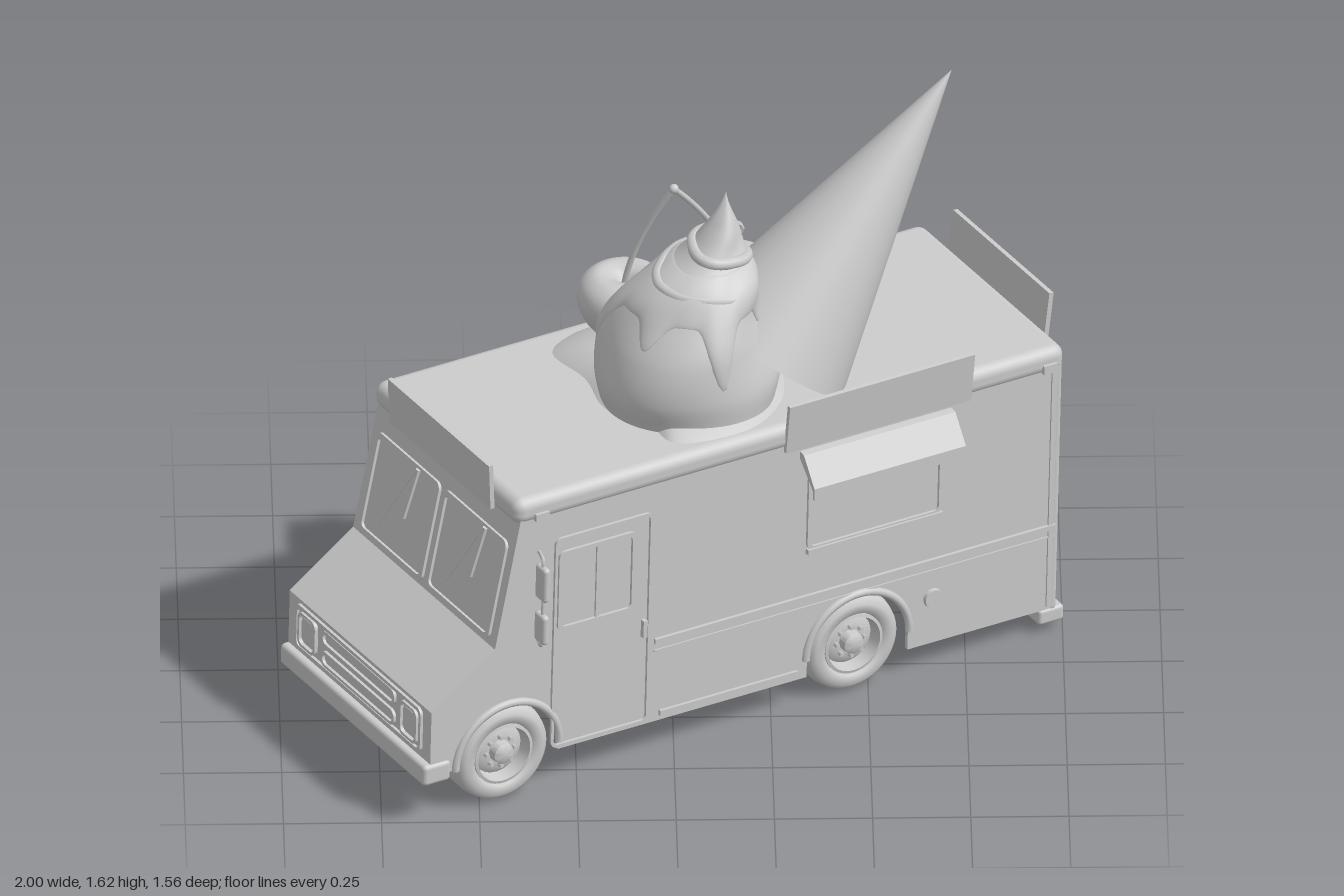
import * as THREE from 'three';
import { toCreasedNormals } from 'three/addons/utils/BufferGeometryUtils.js';
import { RoundedBoxGeometry } from 'three/addons/geometries/RoundedBoxGeometry.js';
import { ParametricGeometry } from 'three/addons/geometries/ParametricGeometry.js';

const grey = new THREE.MeshStandardMaterial({ color: 0xcccccc, side: THREE.DoubleSide });
const V = (x, y, z) => new THREE.Vector3(x, y, z);
const outline = pts => new THREE.Shape(pts.map(p => new THREE.Vector2(...p)));

function add(parent, name, geo, x = 0, y = 0, z = 0) {
  const m = new THREE.Mesh(geo, grey);
  m.name = name;
  m.position.set(x, y, z);
  parent.add(m);
  return m;
}
// Box given by its minimum and maximum on each axis
function box(parent, name, x0, x1, y0, y1, z0, z1, r = 0) {
  const s = [x1 - x0, y1 - y0, z1 - z0];
  const geo = r ? new RoundedBoxGeometry(...s, 3, r) : new THREE.BoxGeometry(...s);
  return add(parent, name, geo, (x0 + x1) / 2, (y0 + y1) / 2, (z0 + z1) / 2);
}
const extrude = (shape, depth) => new THREE.ExtrudeGeometry(shape, { depth, bevelEnabled: false, curveSegments: 16 });

function roundRect(w, h, r, P = THREE.Shape) {
  const s = new P(), a = w / 2 - r, b = h / 2 - r;
  s.absarc(a, b, r, 0, Math.PI / 2);
  s.absarc(-a, b, r, Math.PI / 2, Math.PI);
  s.absarc(-a, -b, r, Math.PI, Math.PI * 1.5);
  s.absarc(a, -b, r, Math.PI * 1.5, Math.PI * 2);
  s.closePath();
  return s;
}
// Thin window or door trim lying in the XY plane, facing +z
function frame(w, h, t = 0.01, depth = 0.008) {
  const s = roundRect(w, h, 0.02);
  s.holes.push(roundRect(w - 2 * t, h - 2 * t, 0.014, THREE.Path));
  return extrude(s, depth);
}

const AXLES = [[-0.7, 0.119], [0.34, 0.146]]; // axle position and arch height in the body frame
const ARCH = 0.15;

function buildWheel() {
  const g = new THREE.Group();
  g.name = 'wheel';
  const lathe = pts => new THREE.LatheGeometry(pts.map(p => new THREE.Vector2(...p)), 40).rotateX(Math.PI / 2);
  add(g, 'tyre', lathe([[0.085, -0.075], [0.115, -0.08], [0.131, -0.065], [0.137, -0.04], [0.137, 0.04],
    [0.131, 0.065], [0.115, 0.08], [0.09, 0.078], [0.082, 0.06]]));
  add(g, 'rim', toCreasedNormals(lathe([[0, -0.04], [0.085, -0.075], [0.085, 0.073], [0.077, 0.075], [0.07, 0.038],
    [0.05, 0.05], [0.03, 0.05], [0.028, 0.074], [0.018, 0.08], [0, 0.08]]), 0.6));
  for (let i = 0; i < 8; i++) {
    const a = i * Math.PI / 4;
    add(g, 'lugNut', new THREE.CylinderGeometry(0.006, 0.006, 0.02, 6).rotateX(Math.PI / 2),
      0.041 * Math.cos(a), 0.041 * Math.sin(a), 0.054);
  }
  return g;
}

// Serving hatch placements: awning centre and width, height shift, window bottom and top, board centre
const HATCH = {
  left: { x: 0.378, w: 0.45, dy: 0, y0: 0.475, y1: 0.7, board: 0.38 },
  right: { x: 0.32, w: 0.4, dy: -0.04, y0: 0.4, y1: 0.67, board: 0.345 },
};

function buildSide(body, s) {
  const g = new THREE.Group(), Z = s * 0.35, side = s > 0 ? 'left' : 'right', hatch = HATCH[side];
  g.name = side + 'Side';
  body.add(g);
  // Thin wall with wheel arches
  const w = new THREE.Shape();
  w.moveTo(-0.93, 0.12);
  w.lineTo(-0.85, 0.12);
  w.absarc(-0.7, 0.119, ARCH, Math.PI, 0, true);
  w.lineTo(-0.55, 0.095);
  w.lineTo(0.19, 0.095);
  w.absarc(0.34, 0.146, ARCH, Math.PI, 0, true);
  [[0.49, 0.09], [0.92, 0.09], [0.92, 0.82], [-0.675, 0.82], [-0.745, 0.445], [-0.93, 0.31]].forEach(p => w.lineTo(...p));
  w.closePath();
  add(g, 'sideWall', extrude(w, 0.012), 0, 0, s > 0 ? 0.338 : -0.35);
  // Trims
  const trim = (name, fw, fh, x, y, t) => add(g, name, frame(fw, fh, t), x, y, s > 0 ? Z : Z - 0.008);
  trim('doorFrame', 0.29, 0.62, -0.43, 0.415, 0.008);
  trim('doorWindowFrame', 0.23, 0.235, -0.448, 0.565, 0.012);
  trim('servingWindowFrame', 0.4, hatch.y1 - hatch.y0, hatch.x, (hatch.y0 + hatch.y1) / 2, 0.01);
  const strip = (name, x0, x1, y0, y1, d) => box(g, name, x0, x1, y0, y1, Z - d, Z + d);
  strip('windowBar', -0.45, -0.44, 0.46, 0.67, 0.006);
  strip('servingLedge', hatch.x - 0.2, hatch.x + 0.2, hatch.y0 - 0.01, hatch.y0 + 0.005, 0.014);
  strip('rubRail', -0.27, 0.92, 0.328, 0.342, 0.009);
  strip('panelSeam', -0.27, 0.92, 0.303, 0.308, 0.004);
  strip('sillRail', -0.25, 0.16, 0.11, 0.125, 0.008);
  strip('doorHandle', -0.31, -0.298, 0.36, 0.41, 0.014);
  strip('cornerTrim', 0.9, 0.915, 0.1, 0.8, 0.005);
  strip('markerLight', -0.64, -0.6, 0.8, 0.82, 0.014);
  strip('rearMarkerLight', 0.87, 0.91, 0.8, 0.825, 0.014);
  for (const [x, y] of AXLES)
    add(g, 'archFlare', new THREE.TorusGeometry(ARCH + 0.004, 0.011, 8, 32, Math.PI), x, y, Z);
  if (s > 0)
    add(g, 'fuelCap', new THREE.CylinderGeometry(0.025, 0.028, 0.02, 20).rotateX(Math.PI / 2), 0.56, 0.225, Z);
  // Awning, extruded along the wall
  const a = outline([[0, 0.775], [0.02, 0.772], [0.075, 0.7], [0.075, 0.667], [0.068, 0.667], [0.068, 0.69], [0, 0.755]]);
  const awning = add(g, 'awning', extrude(a, hatch.w).translate(0, 0, -hatch.w / 2).rotateY(-Math.PI / 2), hatch.x, hatch.dy, Z);
  if (s < 0) awning.rotation.y = Math.PI;
  // Sign board leaning out at the roof edge
  const board = box(g, 'signBoard', hatch.board - 0.275, hatch.board + 0.275, 0.787, 0.93, s * 0.362 - 0.006, s * 0.362 + 0.006);
  board.rotation.x = s * 0.1;
  // Mirrors on a bent bracket
  const arm = new THREE.CatmullRomCurve3([V(-0.62, 0.7, Z), V(-0.635, 0.7, s * 0.395), V(-0.635, 0.58, s * 0.4),
    V(-0.635, 0.45, s * 0.395), V(-0.62, 0.45, Z)], false, 'catmullrom', 0.2);
  add(g, 'mirrorBracket', new THREE.TubeGeometry(arm, 24, 0.005, 6));
  box(g, 'mirror', -0.645, -0.625, 0.585, 0.685, s * 0.395 - 0.025, s * 0.395 + 0.025, 0.01);
  box(g, 'wideMirror', -0.645, -0.625, 0.46, 0.545, s * 0.395 - 0.025, s * 0.395 + 0.025, 0.01);
}

function buildTruck() {
  const truck = new THREE.Group(), body = new THREE.Group();
  truck.name = 'truck';
  body.name = 'body';
  truck.add(body);
  body.rotation.z = -0.026; // sits a little nose up
  truck.rotation.y = Math.PI / 6;

  // Hollow body: nose, hood and windscreen skin, roof, side walls, open underneath
  const skin = outline([[-0.93, 0.12], [-0.918, 0.12], [-0.918, 0.304], [-0.734, 0.438], [-0.662, 0.82], [-0.675, 0.82],
    [-0.745, 0.445], [-0.93, 0.31]]);
  add(body, 'noseAndHood', extrude(skin, 0.68), 0, 0, -0.34);
  box(body, 'roof', -0.695, 0.94, 0.79, 0.864, -0.356, 0.356, 0.03);
  for (const s of [1, -1]) buildSide(body, s);

  // Rear wall, windows, lights and bumper
  box(body, 'rearWall', 0.912, 0.932, 0.085, 0.82, -0.352, 0.352, 0.008);
  const rear = (name, geo, y, z) => { add(body, name, geo, 0.931, y, z).rotation.y = Math.PI / 2; };
  for (const z of [-0.125, 0.11]) rear('rearWindowFrame', frame(0.172, 0.23, 0.011), 0.605, z);
  for (const z of [-0.315, 0.315]) for (const y of [0.32, 0.39])
    rear('tailLight', new THREE.SphereGeometry(0.017, 16, 10).scale(1, 1, 0.6), y, z);
  box(body, 'rearStep', 0.92, 0.938, 0.185, 0.192, -0.33, 0.27);
  box(body, 'rearBumper', 0.88, 0.955, 0.047, 0.092, -0.354, 0.354, 0.01);
  box(body, 'rearSignBoard', 0.952, 0.965, 0.81, 0.95, -0.24, 0.235).rotation.z = -0.1;

  // Nose: bumper, grille and headlights
  box(body, 'frontBumper', -0.952, -0.87, 0.098, 0.158, -0.357, 0.357, 0.012);
  const nose = (name, geo, y, z) => { add(body, name, geo, -0.928, y, z).rotation.y = -Math.PI / 2; };
  nose('grilleSurround', frame(0.62, 0.13, 0.01, 0.01), 0.235, 0);
  for (const y of [0.205, 0.265]) nose('grilleSlot', frame(0.36, 0.045, 0.008, 0.01), y, 0);
  for (const z of [-0.25, 0.25]) {
    nose('headlightFrame', frame(0.085, 0.1, 0.008, 0.012), 0.235, z);
    nose('headlight', extrude(roundRect(0.06, 0.07, 0.015), 0.007), 0.235, z);
  }
  // Windscreen panes and wipers on the sloping front
  const screen = new THREE.Group();
  screen.name = 'windscreen';
  screen.position.set(-0.717, 0.595, 0);
  screen.rotation.set(-0.185, -Math.PI / 2, 0, 'YXZ');
  body.add(screen);
  for (const x of [-0.165, 0.165]) {
    add(screen, 'paneFrame', frame(0.31, 0.28, 0.012, 0.008), x);
    add(screen, 'wiper', new THREE.CylinderGeometry(0.004, 0.004, 0.24, 6), x, 0.03, 0.016).rotation.z = -0.5;
    add(screen, 'wiperBlade', new THREE.BoxGeometry(0.008, 0.15, 0.008), x + 0.05, 0.06, 0.014).rotation.z = -0.15;
  }
  box(body, 'frontSignBoard', -0.711, -0.699, 0.798, 0.927, -0.25, 0.25).rotation.z = 0.06;

  // Wheels stand level on the ground
  for (const [x] of AXLES) for (const s of [1, -1]) {
    const w = buildWheel();
    w.position.set(x, 0.137, s * 0.266);
    if (s < 0) w.rotation.y = Math.PI;
    truck.add(w);
  }
  return truck;
}

function buildSundae() {
  const g = new THREE.Group();
  g.name = 'sundae';
  // Melted pool mounding up from an uneven rim on the roof
  const rim = new THREE.CatmullRomCurve3([[-0.33, -0.12], [-0.27, -0.22], [-0.13, -0.31], [-0.04, -0.38], [0.14, -0.44],
    [0.2, -0.38], [0.39, -0.39], [0.37, -0.28], [0.3, -0.1], [0.29, 0.12], [0.2, 0.28], [0.0, 0.36], [-0.06, 0.28],
    [-0.19, 0.18], [-0.24, 0.02]].map(p => V(p[0], 0.85, p[1])), true);
  add(g, 'meltedPool', new ParametricGeometry((u, v, p) => {
    rim.getPoint(1 - u, p).lerp(V(0.03, 0.85, -0.02), 1 - v);
    p.y += 0.085 * (1 - v * v * v);
  }, 90, 14));

  // Scoop rising into a leaning swirl: centre x, y, z and radius
  const rings = [[0.04, 0.85, 0.07, 0.22], [0.035, 0.95, 0.065, 0.238], [0.035, 1.06, 0.07, 0.212], [0.05, 1.15, 0.07, 0.166],
    [0.08, 1.22, 0.065, 0.125], [0.11, 1.28, 0.05, 0.075], [0.13, 1.34, 0.042, 0.042], [0.14, 1.435, 0.03, 0]];
  const spine = new THREE.CatmullRomCurve3(rings.map(r => V(r[0], r[1], r[2])));
  const radii = new THREE.SplineCurve(rings.map((r, i) => new THREE.Vector2(i, r[3])));
  const surface = (a, t, grow, out) => {
    const c = spine.getPoint(t), lobe = (0.015 + 0.07 * t) * Math.sin(3 * a + 12 * t);
    const r = Math.max(0, radii.getPoint(t).y) * (1 + lobe) + grow;
    out.set(c.x + r * Math.cos(a), c.y, c.z + r * Math.sin(a));
  };
  add(g, 'scoop', new ParametricGeometry((u, v, p) => surface(-2 * Math.PI * u, v, 0, p), 64, 48));
  // Sauce coat with drips running down the scoop
  add(g, 'sauce', new ParametricGeometry((u, v, p) => {
    const a = -2 * Math.PI * u;
    const low = 0.42 - 0.26 * Math.pow(0.5 + 0.5 * Math.sin(6 * a + 1), 3) * (0.7 + 0.3 * Math.sin(2 * a));
    surface(a, low + (0.66 - low) * v, 0.018 * Math.pow(Math.sin(Math.PI * v), 0.4) - 0.004, p);
  }, 120, 24));
  // Raised ribbon winding round the swirl
  const ribbon = [];
  for (let i = 0; i <= 30; i++) {
    const p = V(0, 0, 0);
    surface(i * 0.42, 0.5 + i * 0.011, -0.004, p);
    ribbon.push(p);
  }
  add(g, 'swirlRibbon', new THREE.TubeGeometry(new THREE.CatmullRomCurve3(ribbon), 90, 0.016, 8));

  // Upturned cone stuck into the scoop
  const dir = V(0.55, 0.79, -0.264).normalize(), tip = V(0.72, 1.62, -0.25), len = 0.86;
  const cone = add(g, 'cone', new THREE.ConeGeometry(0.229, len, 56));
  cone.quaternion.setFromUnitVectors(V(0, 1, 0), dir);
  cone.position.copy(tip).addScaledVector(dir, -len / 2);

  // Pair of cherries with stems meeting above
  const joint = V(0.01, 1.345, -0.13);
  for (const [x, y, z, r] of [[-0.115, 0.98, -0.185, 0.121], [0.165, 0.98, -0.265, 0.121]]) {
    const profile = [[0, -0.85], [0.45, -0.76], [0.82, -0.42], [1, 0.05], [0.92, 0.45], [0.62, 0.68], [0.3, 0.62], [0.1, 0.45], [0, 0.4]];
    const curve = new THREE.SplineCurve(profile.map(p => new THREE.Vector2(p[0] * r, p[1] * r)));
    const pts = curve.getPoints(32).map(p => p.setX(Math.max(0, p.x)));
    add(g, 'cherry', new THREE.LatheGeometry(pts, 36), x, y, z);
    const stem = new THREE.QuadraticBezierCurve3(V(x, y + 0.4 * r, z), V(x * 0.8, y + 0.2, z * 0.9), joint);
    add(g, 'cherryStem', new THREE.TubeGeometry(stem, 16, 0.008, 8));
  }
  add(g, 'stemKnot', new THREE.SphereGeometry(0.013, 12, 8), joint.x, joint.y, joint.z);
  return g;
}

export function createModel() {
  const model = new THREE.Group();
  model.name = 'iceCreamTruck';
  model.add(buildTruck(), buildSundae());
  return model;
}
